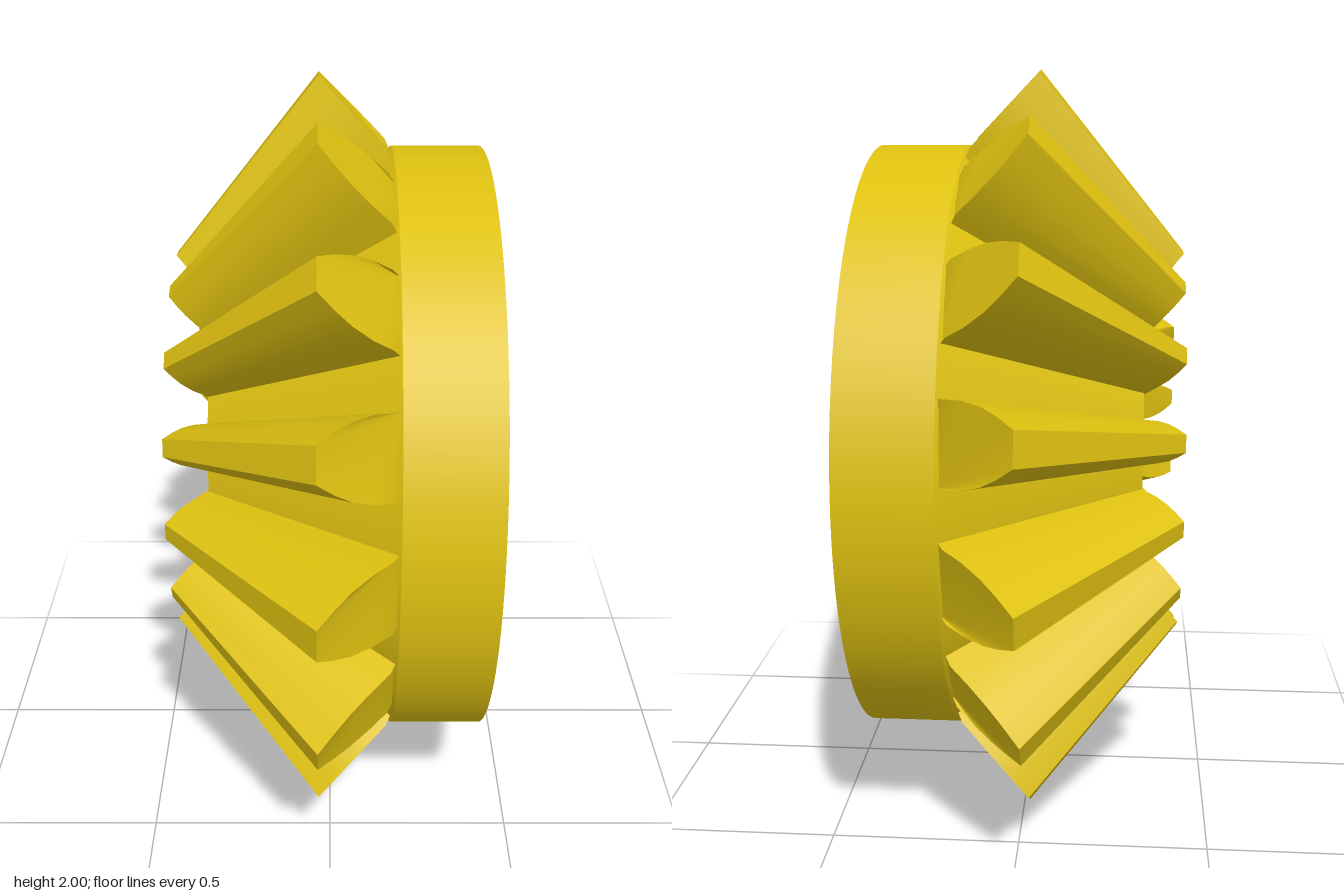
import * as THREE from 'three';
import { toCreasedNormals } from 'three/addons/utils/BufferGeometryUtils.js';

const TEETH = 15;
const APEX = -0.84;          // x where the pitch cone comes to a point
const SHRINK = 0.526;        // small tooth end relative to the big end
const RIM = 0.805, HALF_BORE = 0.2575;
const X_BACK = 0.405, X_ROOT = 0.165;
const X_SMALL = APEX + (X_ROOT - APEX) * SHRINK;
const R_SMALL = RIM * SHRINK;

// Disc with a square opening
function plate(radius) {
  const shape = new THREE.Shape().absarc(0, 0, radius, 0, Math.PI * 2, false);
  const h = HALF_BORE;
  shape.holes.push(new THREE.Path([
    new THREE.Vector2(-h, -h), new THREE.Vector2(-h, h),
    new THREE.Vector2(h, h), new THREE.Vector2(h, -h),
  ]));
  return new THREE.ShapeGeometry(shape, 48);
}

// Open ring along x, from radius r0 at x0 to r1 at x1
function ring(r0, r1, x0, x1) {
  return new THREE.CylinderGeometry(r1, r0, x1 - x0, 96, 1, true)
    .rotateZ(-Math.PI / 2).translate((x0 + x1) / 2, 0, 0);
}

// Curved tooth profile shrunk towards the cone apex
function toothGeometry() {
  const half = [[0.102, 0.78], [0.102, 0.82], [0.1, 0.87], [0.088, 0.92], [0.069, 0.96], [0.042, 1.002]];
  const profile = [...half, ...half.slice().reverse().map(([t, r]) => [-t, r])];
  const n = profile.length;
  const pos = [], idx = [];
  for (const k of [1, SHRINK]) {
    for (const [t, r] of profile) {
      const x = X_ROOT - Math.max(0, r - 0.8) * 0.965;
      pos.push(APEX + (x - APEX) * k, t * k, r * k);
    }
  }
  for (let a = 0; a < n; a++) {
    const b = (a + 1) % n;
    idx.push(a, n + a, n + b, a, n + b, b);
    if (a > 0 && a < n - 1) idx.push(0, a, a + 1, n, n + a + 1, n + a);
  }
  const g = new THREE.BufferGeometry();
  g.setAttribute('position', new THREE.Float32BufferAttribute(pos, 3));
  g.setIndex(idx);
  return toCreasedNormals(g, 0.5);
}

export function createModel() {
  const yellow = new THREE.MeshStandardMaterial({ color: 0xddc010, side: THREE.DoubleSide });
  yellow.name = 'gearYellow';

  const model = new THREE.Group();
  model.name = 'bevelGear';
  const gear = new THREE.Group();
  gear.name = 'gear';
  gear.position.set(0, 1, -0.004);
  model.add(gear);

  const add = (name, geometry, parent = gear) => {
    const mesh = new THREE.Mesh(geometry, yellow);
    mesh.name = name;
    parent.add(mesh);
    return mesh;
  };

  // Hub and root cone
  add('hubRim', ring(RIM, RIM, X_ROOT, X_BACK));
  add('hubFace', plate(RIM).rotateY(Math.PI / 2).translate(X_BACK, 0, 0));
  add('rootCone', ring(R_SMALL, RIM, X_SMALL, X_ROOT));
  add('smallFace', plate(R_SMALL).rotateY(-Math.PI / 2).translate(X_SMALL, 0, 0));

  // Four walls of the square bore, facing the axis
  for (let i = 0; i < 4; i++) {
    const wall = new THREE.PlaneGeometry(X_BACK - X_SMALL, HALF_BORE * 2)
      .translate((X_BACK + X_SMALL) / 2, 0, -HALF_BORE)
      .rotateX(i * Math.PI / 2);
    add('boreWall', wall);
  }

  // Ring of teeth
  const teeth = new THREE.Group();
  teeth.name = 'teeth';
  gear.add(teeth);
  const geometry = toothGeometry();
  for (let i = 0; i < TEETH; i++) {
    add('tooth', geometry, teeth).rotation.x = (i / TEETH) * Math.PI * 2;
  }
  return model;
}
